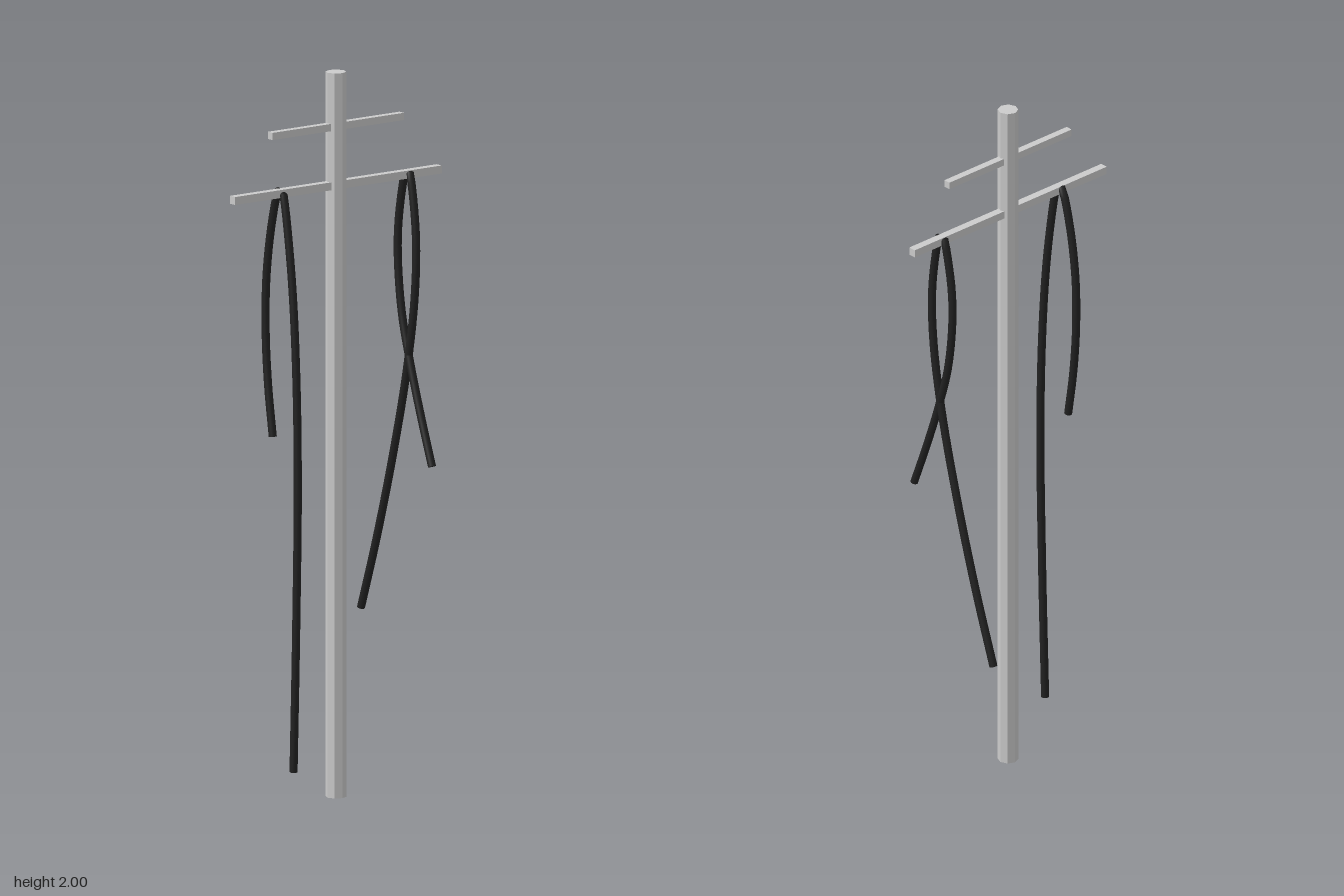
import * as THREE from 'three';

const AXIS_Z = 0.05; // the pole stands slightly forward of centre

export function createModel() {
  const group = new THREE.Group();
  const grey = new THREE.MeshStandardMaterial({ color: 0xcccccc, flatShading: true });
  const black = new THREE.MeshStandardMaterial({ color: 0x222222 });

  const add = (name, geometry, material, x, y, z, parent = group) => {
    const mesh = new THREE.Mesh(geometry, material);
    mesh.name = name;
    mesh.position.set(x, y, z);
    parent.add(mesh);
    return mesh;
  };

  // Octagonal pole and two crossarms
  add('pole', new THREE.CylinderGeometry(0.028, 0.028, 2, 8), grey, 0, 1, AXIS_Z);
  add('lowerCrossarm', new THREE.BoxGeometry(0.7, 0.022, 0.022), grey, 0, 1.688, AXIS_Z);
  add('upperCrossarm', new THREE.BoxGeometry(0.446, 0.02, 0.02), grey, 0, 1.85, AXIS_Z);

  // A cable draped over the lower crossarm, in a plane of constant x; points are [z, y]
  const radius = 0.011;
  const cable = (name, x, points) => {
    const part = new THREE.Group();
    part.name = name;
    group.add(part);
    const curve = new THREE.CatmullRomCurve3(points.map(([z, y]) => new THREE.Vector3(x, y, z)));
    add(name + 'Strand', new THREE.TubeGeometry(curve, 80, radius, 10), black, 0, 0, 0, part);
    // Flat cut ends
    for (const t of [0, 1]) {
      const end = curve.getPointAt(t);
      const outward = curve.getTangentAt(t).multiplyScalar(t ? 1 : -1);
      const cap = add(name + 'End', new THREE.CircleGeometry(radius, 10), black, end.x, end.y, end.z, part);
      cap.quaternion.setFromUnitVectors(new THREE.Vector3(0, 0, 1), outward);
    }
  };

  cable('rightCable', -0.187, [
    [0.107, 0.1], [0.119, 0.5], [0.126, 0.9], [0.119, 1.2], [0.1, 1.45], [0.068, 1.66],
    [0.058, 1.694], [0.05, 1.698], [0.038, 1.69], [0.01, 1.6], [-0.014, 1.45], [-0.018, 1.3],
    [-0.007, 1.15], [0.014, 1.01],
  ]);
  cable('leftCable', 0.242, [
    [-0.158, 0.458], [-0.085, 0.67], [-0.01, 0.92], [0.049, 1.155], [0.083, 1.36], [0.088, 1.52],
    [0.067, 1.67], [0.059, 1.694], [0.05, 1.698], [0.04, 1.693], [0.03, 1.66], [0.01, 1.55], [0.007, 1.45],
    [0.025, 1.3], [0.065, 1.16], [0.11, 1.03], [0.16, 0.898],
  ]);

  return group;
}
